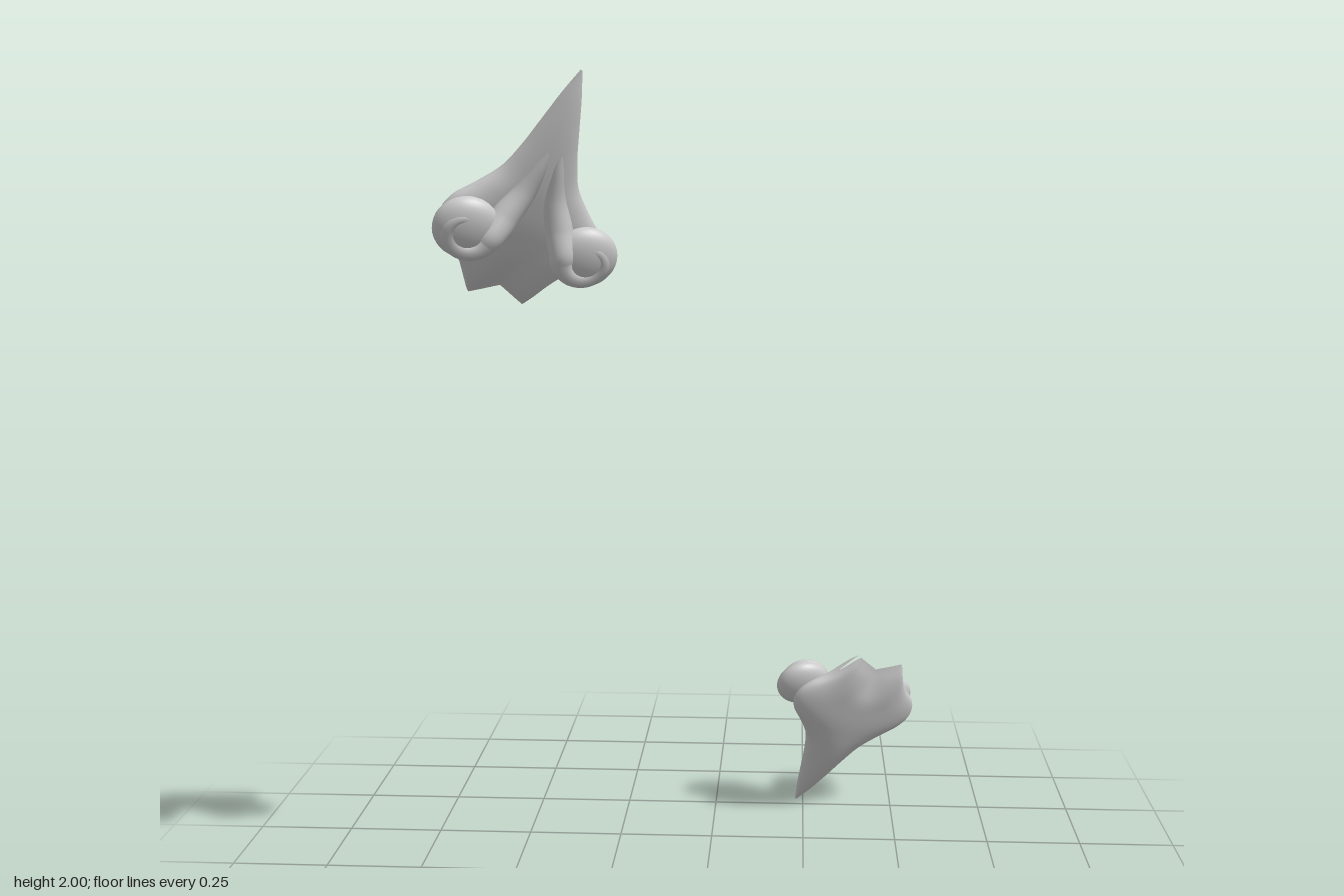
import * as THREE from 'three';

const material = new THREE.MeshStandardMaterial({ color: 0xcccccc });
const V = (x, y, z) => new THREE.Vector3(x, y, z);
const { lerp, smoothstep } = THREE.MathUtils;

// Half width, height above the crown and half depth of the spiked body
const profile = new THREE.CatmullRomCurve3([
  V(0.1, 0, 0.006), V(0.122, 0.04, 0.024), V(0.16, 0.11, 0.04), V(0.182, 0.175, 0.047),
  V(0.17, 0.215, 0.05), V(0.127, 0.262, 0.051), V(0.088, 0.31, 0.05), V(0.063, 0.37, 0.045),
  V(0.042, 0.44, 0.035), V(0.022, 0.51, 0.02), V(0.002, 0.57, 0.002),
]);

// Zigzag lower edge: two points with a notch between them, rising to the sides
function crownEdge(x) {
  const a = Math.abs(x);
  return a < 0.065 ? lerp(0.035, 0, a / 0.065) : lerp(0, 0.06, (a - 0.065) / 0.035);
}

// Lofted body: flattened rings from the crown to the spike
function bodyGeometry() {
  const rows = 60, sides = 64, pos = [], idx = [];
  for (let i = 0; i <= rows; i++) {
    const p = profile.getPoint(i / rows);
    const fade = 1 - smoothstep(p.y, 0, 0.16);
    for (let j = 0; j < sides; j++) {
      const a = (j / sides) * Math.PI * 2;
      const x = p.x * Math.cos(a);
      const fold = 0.25 * fade * Math.cos((x / 0.065) * Math.PI);
      pos.push(x, p.y + fade * crownEdge(x * (0.1 / p.x)), p.z * Math.sin(a) * (1 - fold));
    }
  }
  for (let i = 0; i < rows; i++) {
    for (let j = 0; j < sides; j++) {
      const a = i * sides + j, b = i * sides + ((j + 1) % sides);
      idx.push(a, a + sides, b, b, a + sides, b + sides);
    }
  }
  const geo = new THREE.BufferGeometry();
  geo.setAttribute('position', new THREE.Float32BufferAttribute(pos, 3));
  geo.setIndex(idx);
  geo.computeVertexNormals();
  return geo;
}

// Tube whose radius follows radiusAt(t)
function taperedTube(curve, segments, sides, radiusAt) {
  const geo = new THREE.TubeGeometry(curve, segments, 1, sides);
  const pos = geo.attributes.position, v = V(0, 0, 0);
  for (let i = 0; i <= segments; i++) {
    const centre = curve.getPointAt(i / segments), r = radiusAt(i / segments);
    for (let j = 0; j <= sides; j++) {
      const k = i * (sides + 1) + j;
      v.fromBufferAttribute(pos, k).sub(centre).multiplyScalar(r).add(centre);
      pos.setXYZ(k, v.x, v.y, v.z);
    }
  }
  return geo;
}

const EYE = V(0.135, 0.19, 0.085);

// Stem that climbs the body and curls outwards into a scroll
function scrollGeometry(side) {
  const pts = [V(0.008, 0.43, 0.024), V(0.017, 0.36, 0.036), V(0.034, 0.29, 0.045), V(0.06, 0.235, 0.063)];
  const steps = 34;
  for (let i = 0; i <= steps; i++) {
    const t = i / steps, a = Math.PI * (1 + 3.4 * t), r = lerp(0.054, 0.006, Math.pow(t, 0.85));
    pts.push(V(EYE.x + r * Math.cos(a), EYE.y + r * Math.sin(a), EYE.z + 0.012 * t));
  }
  pts.forEach((p) => { p.x *= side; });
  return taperedTube(new THREE.CatmullRomCurve3(pts), 140, 16, (t) =>
    t < 0.4 ? lerp(0.008, 0.031, smoothstep(t, 0, 0.4)) : lerp(0.031, 0.007, (t - 0.4) / 0.6));
}

function createOrnament() {
  const ornament = new THREE.Group();
  const add = (name, geo) => {
    const mesh = new THREE.Mesh(geo, material);
    mesh.name = name;
    ornament.add(mesh);
    return mesh;
  };
  add('spikedBody', bodyGeometry());
  for (const side of [1, -1]) {
    const label = side > 0 ? 'left' : 'right';
    add(label + 'Scroll', scrollGeometry(side));
    // Rounded back that closes the scroll
    const back = add(label + 'ScrollBack', new THREE.SphereGeometry(1, 32, 20));
    back.scale.set(0.072, 0.072, 0.036);
    back.position.set(side * EYE.x, EYE.y, EYE.z - 0.012);
  }
  return ornament;
}

export function createModel() {
  const model = new THREE.Group();
  const crown = V(-0.4575, 1.5175, 0.34), tip = V(-0.23, 2, 0.54);
  const up = tip.clone().sub(crown).normalize();
  const out = V(0.89, -0.24, -0.39).cross(up).normalize();
  const across = up.clone().cross(out);

  // Upper ornament, and the lower one turned half round through the centre
  for (const s of [1, -1]) {
    const ornament = createOrnament();
    ornament.name = s > 0 ? 'upperOrnament' : 'lowerOrnament';
    const basis = new THREE.Matrix4().makeBasis(across, up.clone().multiplyScalar(s), out.clone().multiplyScalar(s));
    ornament.quaternion.setFromRotationMatrix(basis);
    ornament.position.set(s * crown.x, 1 + s * (crown.y - 1), s * crown.z);
    model.add(ornament);
  }
  return model;
}
